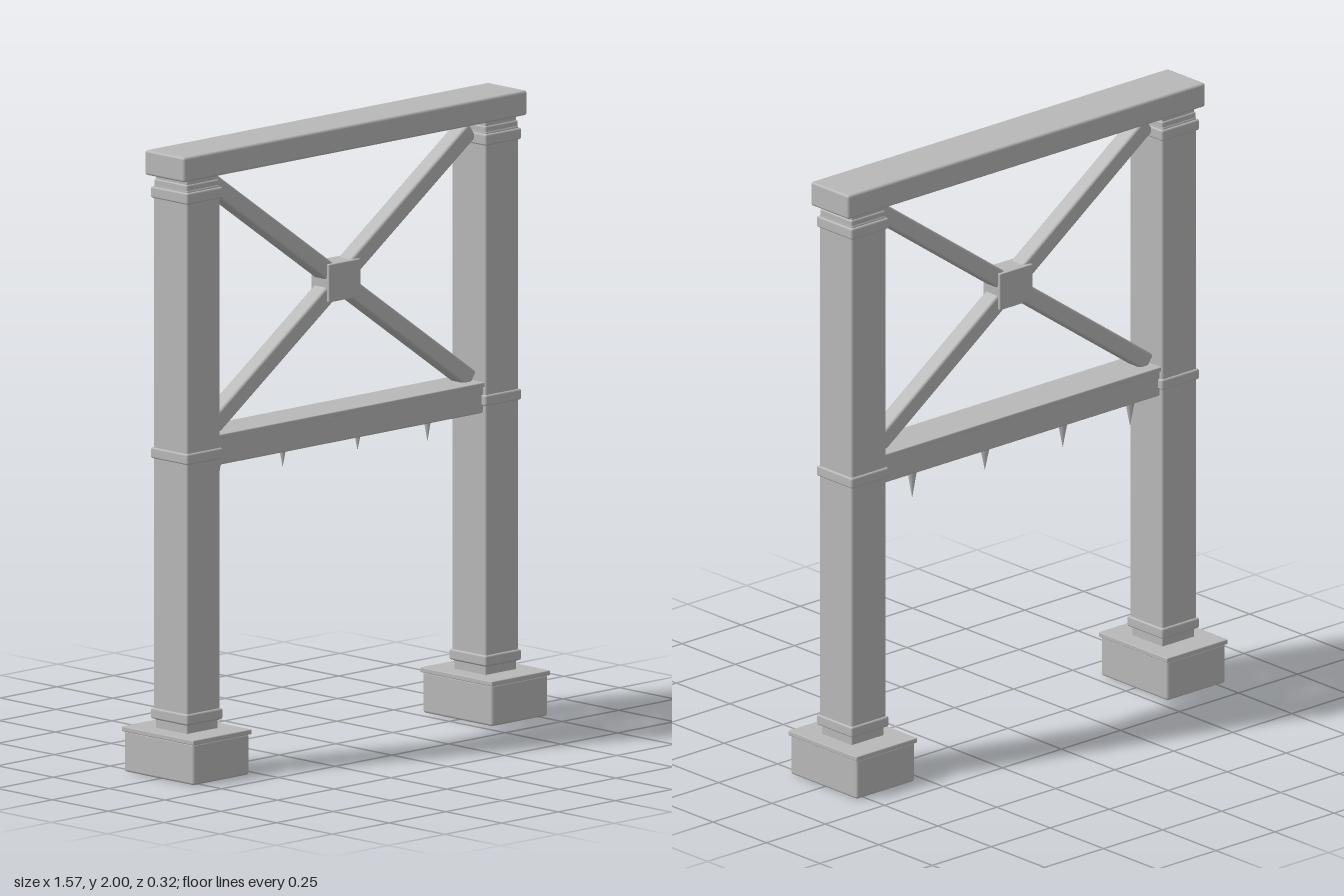
import * as THREE from 'three';
import { RoundedBoxGeometry } from 'three/addons/geometries/RoundedBoxGeometry.js';

const stone = new THREE.MeshStandardMaterial({ color: 0xb8b8b8 });
stone.name = 'plain grey';

// Box with softly worn edges, given by its centre x, its y range and its width and depth
function block(name, x, y0, y1, width, depth, bevel = 0.006) {
  const geometry = new RoundedBoxGeometry(width, y1 - y0, depth, 1, bevel);
  const mesh = new THREE.Mesh(geometry, stone);
  mesh.name = name;
  mesh.position.set(x, (y0 + y1) / 2, 0);
  return mesh;
}

// Footing, shaft and collars of one post
function createPost(name, x) {
  const post = new THREE.Group();
  post.name = name;
  post.position.x = x;
  post.add(
    block('footing', 0, 0, 0.133, 0.246, 0.312, 0.008),
    block('footingCap', 0, 0.13, 0.146, 0.258, 0.322, 0.003),
    block('lowerNeck', 0, 0.14, 0.18, 0.136, 0.142, 0.003),
    block('shaft', 0, 0.172, 1.89, 0.146, 0.154),
    block('lowerCollar', 0, 0.175, 0.21, 0.158, 0.166),
    block('middleCollar', 0, 1.01, 1.045, 0.158, 0.166),
    block('upperCollar', 0, 1.845, 1.882, 0.158, 0.166),
    block('upperNeck', 0, 1.876, 1.907, 0.144, 0.15),
    block('postTop', 0, 1.9, 1.93, 0.136, 0.142, 0.003)
  );
  return post;
}

export function createModel() {
  const model = new THREE.Group();
  model.name = 'gateFrame';

  model.add(createPost('leftPost', 0.658), createPost('rightPost', -0.658));
  model.add(block('topBeam', 0, 1.92, 2, 1.514, 0.178, 0.008));

  // Cross beam with a thin overhanging cap
  model.add(
    block('crossBeam', 0, 0.985, 1.073, 1.2, 0.126),
    block('crossBeamCap', 0, 1.07, 1.085, 1.2, 0.142, 0.003)
  );

  // Diagonal braces meeting in a square hub
  const centreY = 1.49, dx = 0.575, dy = 0.4;
  for (const side of [-1, 1]) {
    const length = 2 * Math.hypot(dx, dy);
    const brace = block('diagonalBrace', 0, centreY - 0.029, centreY + 0.029, length, 0.06, 0.008);
    brace.rotation.z = side * Math.atan2(dy, dx);
    model.add(brace);
  }
  model.add(block('braceHub', 0, 1.43, 1.552, 0.14, 0.08, 0.003));

  // Spikes hanging under the back edge of the cross beam
  for (const [x, tip] of [[-0.475, 0.908], [-0.19, 0.908], [0.14, 0.915], [0.448, 0.898]]) {
    const height = 0.99 - tip;
    const spike = new THREE.Mesh(new THREE.ConeGeometry(0.015, height, 8), stone);
    spike.name = 'hangingSpike';
    spike.rotation.x = Math.PI;
    spike.position.set(x, tip + height / 2, -0.046);
    model.add(spike);
  }
  return model;
}
